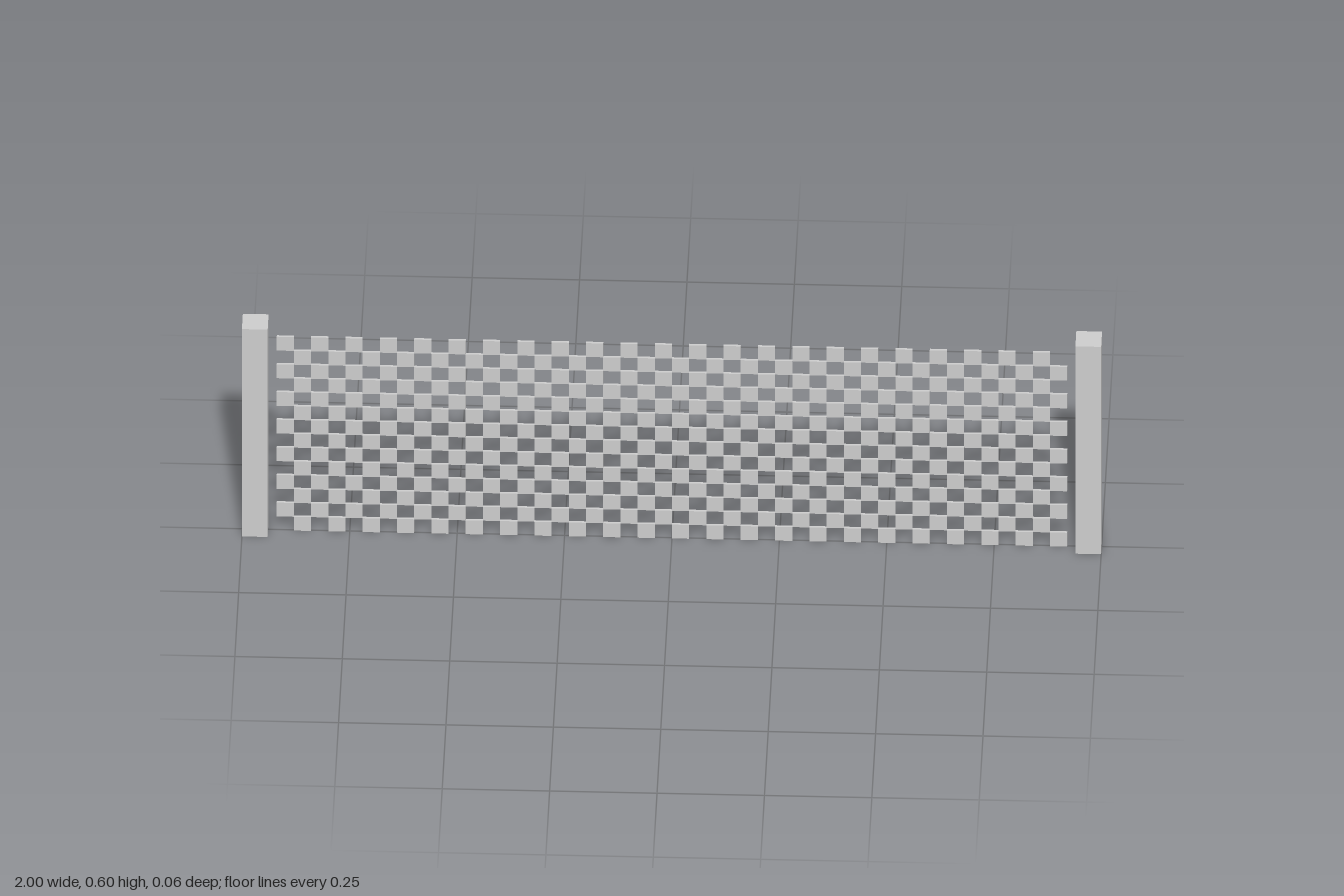
import * as THREE from 'three';
import { mergeGeometries } from 'three/addons/utils/BufferGeometryUtils.js';

const POST = { width: 0.06, height: 0.6 };
const CELL = 0.04, COLUMNS = 46, ROWS = 14, THICKNESS = 0.006;

export function createModel() {
  const group = new THREE.Group();
  group.name = 'latticeFence';
  const material = new THREE.MeshStandardMaterial({ color: 0xcccccc, flatShading: true });

  // Square end posts
  for (const side of [-1, 1]) {
    const post = new THREE.Mesh(new THREE.BoxGeometry(POST.width, POST.height, POST.width), material);
    post.name = side > 0 ? 'leftPost' : 'rightPost';
    post.position.set(side * (1 - POST.width / 2), POST.height / 2, 0);
    group.add(post);
  }

  // Checkerboard mesh panel: thin square tiles on every other cell
  const tiles = [];
  for (let row = 0; row < ROWS; row++) {
    for (let col = (row + 1) % 2; col < COLUMNS; col += 2) {
      const x = (col + 0.5 - COLUMNS / 2) * CELL;
      const y = (row + 0.5) * CELL;
      tiles.push(new THREE.BoxGeometry(CELL, CELL, THICKNESS).translate(x, y, 0));
    }
  }
  const panel = new THREE.Mesh(mergeGeometries(tiles), material);
  panel.name = 'meshPanel';
  group.add(panel);

  return group;
}
